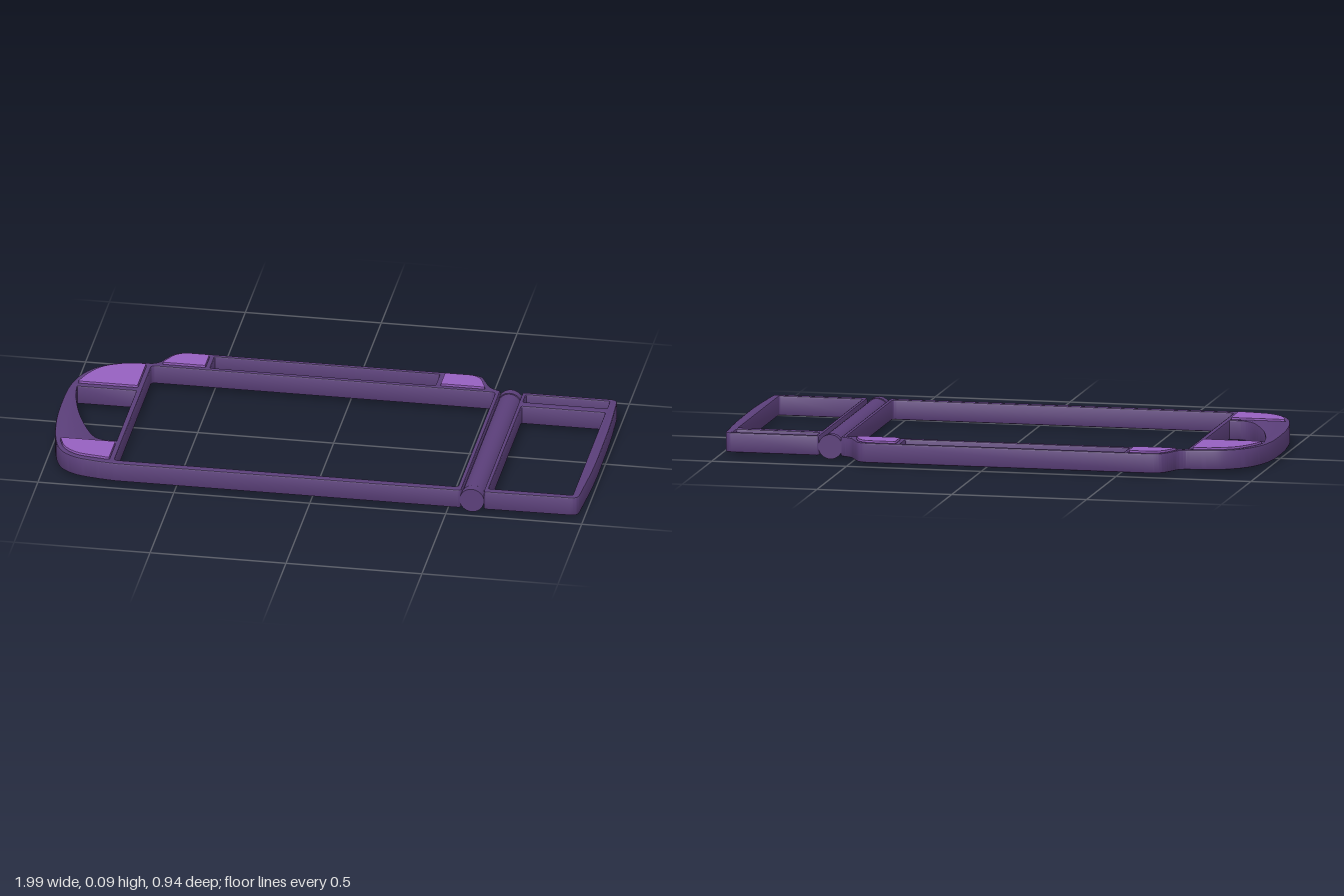
import * as THREE from 'three';
import { toCreasedNormals } from 'three/addons/utils/BufferGeometryUtils.js';

const dark = new THREE.MeshStandardMaterial({ color: 0x5b3f7a });
const light = new THREE.MeshStandardMaterial({ color: 0x9660c0 });

// Shapes are drawn in plan: shape x = x, shape y = z
const vecs = (pts) => pts.map(([x, z]) => new THREE.Vector2(x, z));

// Closed polygon with softened corners; a point may carry its own radius
function rounded(pts, radius = 0.012) {
  const s = new THREE.Shape();
  pts.forEach((p, i) => {
    const c = new THREE.Vector2(p[0], p[1]);
    const [prev, next] = vecs([pts[(i + pts.length - 1) % pts.length], pts[(i + 1) % pts.length]]);
    const r = p[2] ?? radius;
    const a = prev.sub(c).setLength(r).add(c);
    const b = next.sub(c).setLength(r).add(c);
    if (i) s.lineTo(a.x, a.y); else s.moveTo(a.x, a.y);
    s.quadraticCurveTo(c.x, c.y, b.x, b.y);
  });
  s.closePath();
  return s;
}

const rect = (x0, z0, x1, z1, r) => rounded([[x0, z0], [x1, z0], [x1, z1], [x0, z1]], r);

// Flat plate between two heights, with softly bevelled edges
function plate(name, shape, y0, y1, bevel, material) {
  const geo = new THREE.ExtrudeGeometry(shape, {
    depth: y1 - y0 - 2 * bevel, curveSegments: 8, bevelEnabled: bevel > 0,
    bevelSize: bevel, bevelThickness: bevel, bevelOffset: -bevel, bevelSegments: 2,
  });
  geo.rotateX(Math.PI / 2);
  geo.translate(0, y1 - bevel, 0);
  const mesh = new THREE.Mesh(toCreasedNormals(geo, 0.6), material);
  mesh.name = name;
  return mesh;
}

export function createModel() {
  const model = new THREE.Group();
  model.name = 'foldingFrame';
  const bottom = 0.011, top = 0.084, bevel = 0.006;

  // Outline of main body: straight front, curved grip, raised back bumper
  const body = new THREE.Shape();
  body.moveTo(0.55, -0.362);
  body.lineTo(0.55, 0.455);
  body.quadraticCurveTo(0.55, 0.468, 0.537, 0.468);
  body.lineTo(-0.72, 0.468);
  body.splineThru(vecs([[-0.8, 0.458], [-0.88, 0.437], [-0.94, 0.385], [-0.975, 0.28],
    [-0.995, 0.14], [-1, 0], [-0.995, -0.13], [-0.97, -0.23], [-0.925, -0.3],
    [-0.86, -0.345], [-0.79, -0.362], [-0.73, -0.368]]));
  body.splineThru(vecs([[-0.705, -0.385], [-0.685, -0.425], [-0.66, -0.46], [-0.62, -0.475]]));
  body.lineTo(0.43, -0.475);
  body.splineThru(vecs([[0.465, -0.462], [0.487, -0.425], [0.51, -0.385], [0.55, -0.362]]));

  // Openings that stay empty
  const gripOpening = new THREE.Shape();
  gripOpening.moveTo(-0.75, -0.135);
  gripOpening.lineTo(-0.966, -0.135);
  gripOpening.splineThru(vecs([[-0.955, -0.05], [-0.92, 0.08], [-0.87, 0.2], [-0.83, 0.263], [-0.79, 0.28]]));
  gripOpening.lineTo(-0.75, 0.28);
  gripOpening.closePath();
  body.holes.push(
    rect(-0.73, -0.346, 0.534, 0.437, 0.015),
    rect(-0.518, -0.457, 0.31, -0.366, 0.006),
    gripOpening,
  );

  // Openings closed from above by bright thin panels
  const panels = {
    gripPanelBack: rounded([[-0.75, -0.346], [-0.815, -0.342, 0.03], [-0.9, -0.305, 0.04],
      [-0.945, -0.235, 0.04], [-0.968, -0.163], [-0.75, -0.163]], 0.006),
    gripPanelFront: rounded([[-0.75, 0.302], [-0.952, 0.302], [-0.925, 0.375, 0.03],
      [-0.87, 0.417, 0.03], [-0.75, 0.435]], 0.008),
    bumperPanelRight: rounded([[-0.537, -0.367], [-0.695, -0.367], [-0.66, -0.438, 0.02],
      [-0.625, -0.457, 0.015], [-0.537, -0.457]], 0.006),
    bumperPanelLeft: rounded([[0.33, -0.367], [0.492, -0.367], [0.465, -0.438, 0.02],
      [0.435, -0.457, 0.015], [0.33, -0.457]], 0.006),
  };
  for (const [name, shape] of Object.entries(panels)) {
    body.holes.push(shape);
    model.add(plate(name, shape, 0.072, 0.09, 0, light));
  }
  model.add(plate('mainFrame', body, bottom, top, bevel, dark));

  // Fold-out side frame with two openings and a slightly bowed outer edge
  const side = rounded([[0.632, -0.363], [0.982, -0.363, 0.03], [0.993, -0.15, 0.1],
    [0.995, 0.2, 0.1], [0.98, 0.46, 0.03], [0.632, 0.465]]);
  side.holes.push(rect(0.647, -0.345, 0.955, -0.286, 0.006), rect(0.647, -0.25, 0.955, 0.434, 0.006));
  model.add(plate('sideFrame', side, bottom, top, bevel, dark));

  // Hinge: long barrel between two end knuckles
  const hinge = new THREE.Group();
  hinge.name = 'hinge';
  for (const [name, z0, z1, r] of [['hingeKnuckleBack', -0.363, -0.333, 0.045],
    ['hingeBarrel', -0.329, 0.428, 0.043], ['hingeKnuckleFront', 0.432, 0.467, 0.045],
    ['hingePin', -0.34, 0.44, 0.036]]) {
    const geo = new THREE.CylinderGeometry(r, r, z1 - z0, 32);
    geo.rotateX(Math.PI / 2);
    const part = new THREE.Mesh(geo, dark);
    part.name = name;
    part.position.set(0.59, 0.045, (z0 + z1) / 2);
    hinge.add(part);
  }
  model.add(hinge);
  return model;
}
